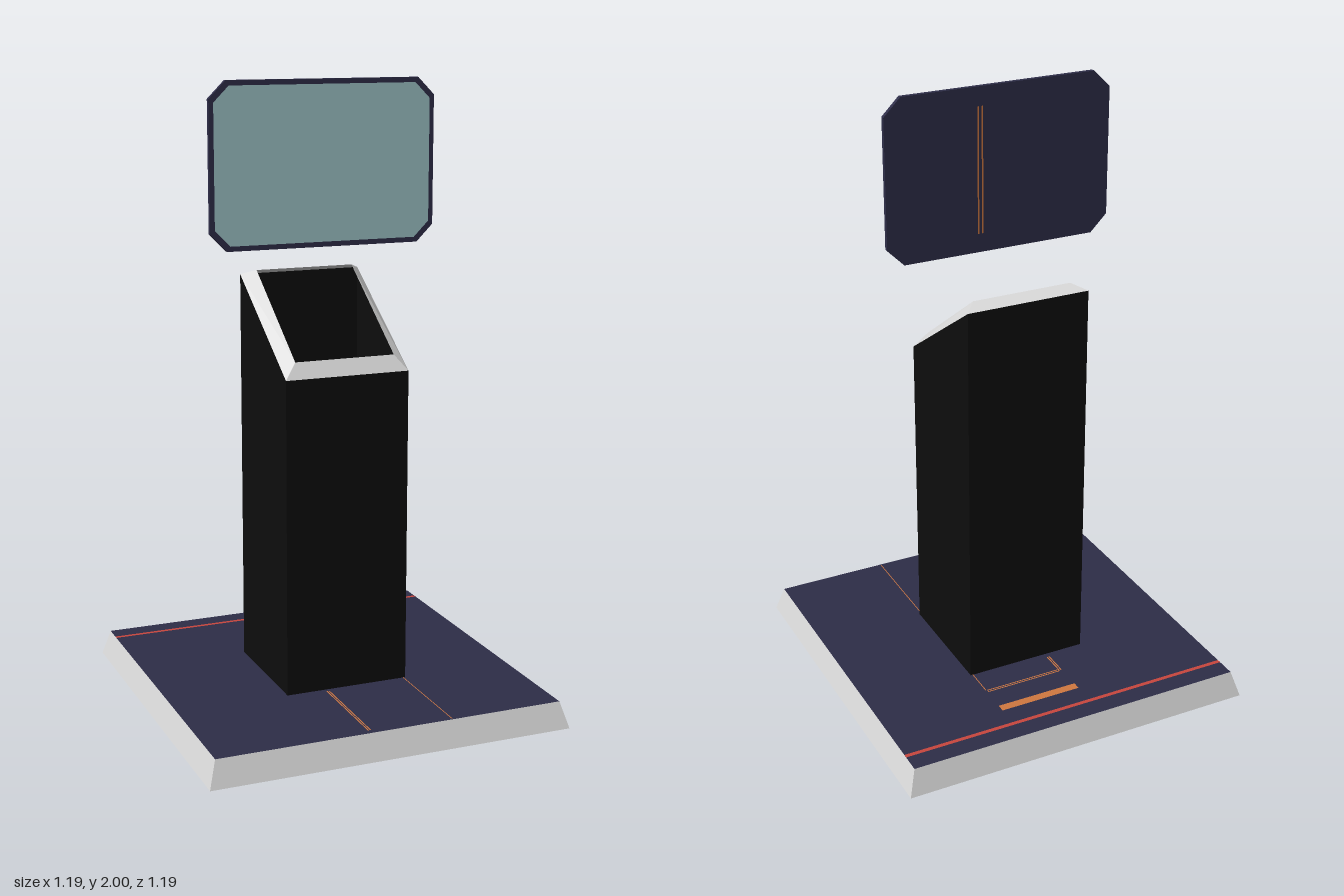
import * as THREE from 'three';

const mat = (name, color, side = THREE.FrontSide) => {
  const m = new THREE.MeshStandardMaterial({ color, side });
  m.name = name;
  return m;
};

// Four corners, counter-clockwise seen from above, starting front left of the viewer
const ring = (hx, zFront, yFront, zBack, yBack) => [
  [-hx, yFront, zFront], [hx, yFront, zFront], [hx, yBack, zBack], [-hx, yBack, zBack],
];

// Flat-sided open band between a lower and an upper ring
function band(low, high) {
  const p = [];
  low.forEach((a, i) => {
    const j = (i + 1) % low.length;
    p.push(...a, ...low[j], ...high[j], ...a, ...high[j], ...high[i]);
  });
  const g = new THREE.BufferGeometry();
  g.setAttribute('position', new THREE.Float32BufferAttribute(p, 3));
  g.computeVertexNormals();
  return g;
}

// Rectangle with cut corners, centred on the origin
function cutRect(hx, hy, c) {
  return new THREE.Shape([
    [-hx + c, -hy], [hx - c, -hy], [hx, -hy + c], [hx, hy - c],
    [hx - c, hy], [-hx + c, hy], [-hx, hy - c], [-hx, -hy + c],
  ].map(([x, y]) => new THREE.Vector2(x, y)));
}

export function createModel() {
  const model = new THREE.Group();
  model.name = 'kiosk';
  const grey = mat('light grey', 0xdcdcdc, THREE.DoubleSide);
  const black = mat('black', 0x0d0d0d, THREE.DoubleSide);
  const navy = mat('navy', 0x2e2d48);
  const teal = mat('pale teal', 0x9fc5c8);
  const orange = mat('orange', 0xd07840);
  const red = mat('red', 0xc8463e);

  const add = (name, geometry, material, x = 0, y = 0, z = 0, parent = model) => {
    const m = new THREE.Mesh(geometry, material);
    m.name = name;
    m.position.set(x, y, z);
    parent.add(m);
    return m;
  };

  // Base: sloping grey rim with navy top and underside
  const H = 0.085, B = 0.595, T = 0.57;
  add('baseRim', band(ring(B, B, 0, -B, 0), ring(T, T, H, -T, H)), grey);
  add('baseTop', new THREE.PlaneGeometry(2 * T, 2 * T), navy, 0, H, 0).rotation.x = -Math.PI / 2;
  add('baseUnderside', new THREE.PlaneGeometry(2 * B, 2 * B), navy).rotation.x = Math.PI / 2;

  // Hollow column with a slanted open top, and the bevelled frame around the opening
  const C = 0.205;
  const slant = ring(C, C, 1.105, -C, 1.375);
  add('column', band(ring(C, C, H, -C, H), slant), black);
  add('openingFrame', band(slant, ring(0.165, 0.18, 1.155, -0.16, 1.392)), grey);

  // Floor markings: [x0, x1, z0, z1]
  const markings = new THREE.Group();
  markings.name = 'floorMarkings';
  model.add(markings);
  const mark = (name, m, [x0, x1, z0, z1]) =>
    add(name, new THREE.PlaneGeometry(x1 - x0, z1 - z0), m,
      (x0 + x1) / 2, H + 0.0006, (z0 + z1) / 2, markings).rotation.x = -Math.PI / 2;
  mark('redLine', red, [-T, T, -0.508, -0.494]);
  mark('orangeBar', orange, [-0.078, 0.198, -0.425, -0.397]);
  for (const r of [
    [-0.07, 0.194, -0.315, -0.311], [-0.07, 0.194, -0.307, -0.303],
    [-0.078, -0.074, -0.31, -0.225], [-0.071, -0.067, -0.31, -0.225],
    [-0.078, -0.074, 0.22, 0.55], [-0.071, -0.067, 0.22, 0.55],
    [0.196, 0.199, -0.303, -0.205], [0.196, 0.199, 0.205, 0.565],
  ]) mark('orangeOutline', orange, r);

  // Floating screen: slab, glass on the front, two fine lines on the back
  const screen = new THREE.Group();
  screen.name = 'screen';
  screen.position.y = 1.74;
  model.add(screen);
  const D = 0.014;
  add('screenBody', new THREE.ExtrudeGeometry(cutRect(0.375, 0.26, 0.055),
    { depth: D, bevelEnabled: false }), navy, 0, 0, -D / 2, screen);
  add('screenGlass', new THREE.ShapeGeometry(cutRect(0.36, 0.244, 0.05)), teal,
    0, 0, D / 2 + 0.001, screen);
  for (const x of [0.058, 0.072])
    add('backLine', new THREE.PlaneGeometry(0.005, 0.4), orange,
      x, 0, -D / 2 - 0.0006, screen).rotation.y = Math.PI;

  return model;
}
